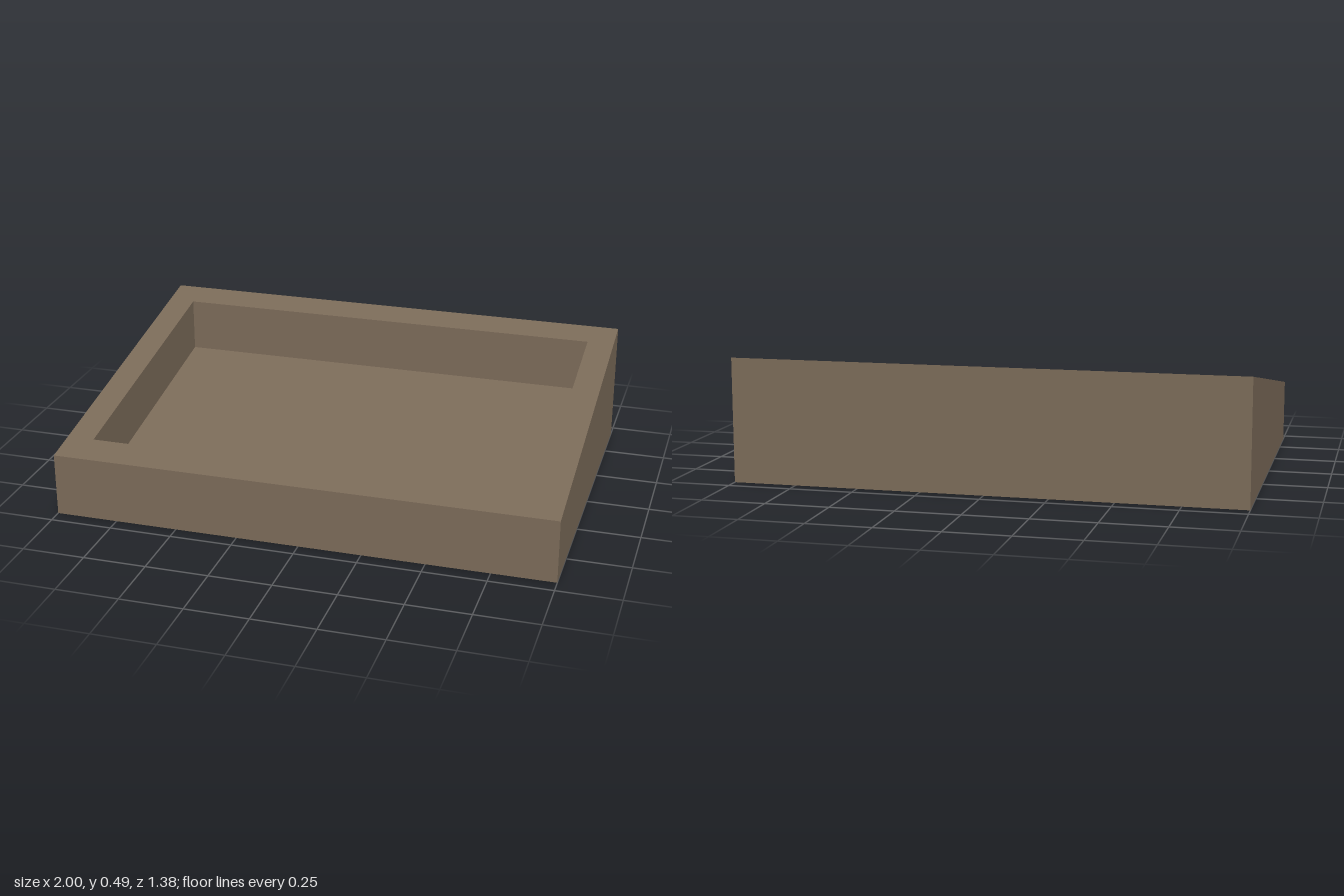
import * as THREE from 'three';

const HALF_DEPTH = 0.69, FRONT_HEIGHT = 0.253, BACK_HEIGHT = 0.49, RECESS_DEPTH = 0.22;

// Height of the sloping top at a given z
const slope = (z) => THREE.MathUtils.mapLinear(z, HALF_DEPTH, -HALF_DEPTH, FRONT_HEIGHT, BACK_HEIGHT);

// Four corners, counter-clockwise seen from above, starting at the front right
function ring(halfWidth, front, back, height) {
  return [[-halfWidth, front], [halfWidth, front], [halfWidth, back], [-halfWidth, back]]
    .map(([x, z]) => [x, height(z), z]);
}

// Separate flat quads, so every edge stays sharp
function quadMesh(name, quads, material) {
  const positions = quads.flatMap(([a, b, c, d]) => [a, b, c, a, c, d]).flat();
  const geometry = new THREE.BufferGeometry();
  geometry.setAttribute('position', new THREE.Float32BufferAttribute(positions, 3));
  geometry.computeVertexNormals();
  const mesh = new THREE.Mesh(geometry, material);
  mesh.name = name;
  return mesh;
}

// Band of four quads joining two rings
const band = (a, b) => a.map((p, i) => [p, a[(i + 1) % 4], b[(i + 1) % 4], b[i]]);

export function createModel() {
  const model = new THREE.Group();
  model.name = 'slopedTray';
  const brown = new THREE.MeshStandardMaterial({ color: 0x7a6a58 });
  brown.name = 'brown';

  const base = ring(1, HALF_DEPTH, -HALF_DEPTH, () => 0);
  const outerTop = ring(1, HALF_DEPTH, -HALF_DEPTH, slope);
  const innerTop = ring(0.89, 0.555, -0.56, slope);
  const floor = ring(0.89, 0.555, -0.56, (z) => slope(z) - RECESS_DEPTH);

  model.add(
    quadMesh('outerWalls', band(base, outerTop), brown),
    quadMesh('rim', band(outerTop, innerTop), brown),
    quadMesh('recessWalls', band(innerTop, floor), brown),
    quadMesh('recessFloor', [floor], brown),
    quadMesh('underside', [[...base].reverse()], brown),
  );
  return model;
}
